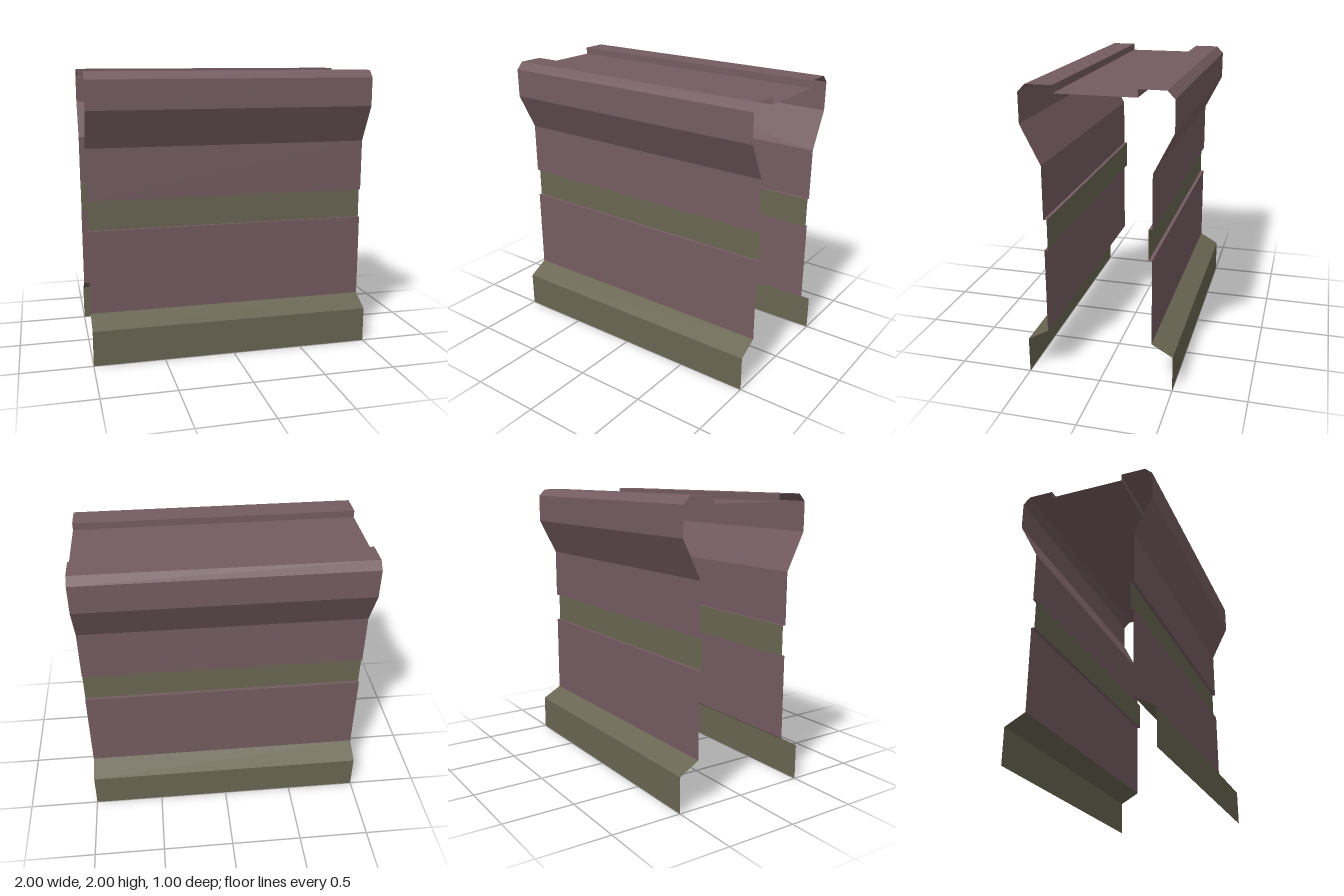
import * as THREE from 'three';

const mauve = new THREE.MeshStandardMaterial({ color: 0x755c61, side: THREE.DoubleSide });
mauve.name = 'mauve panel';
const olive = new THREE.MeshStandardMaterial({ color: 0x6a6653, side: THREE.DoubleSide });
olive.name = 'olive trim';

// Sweeps a [z, y] section along x as a thin folded sheet with crisp folds.
// Points run upward on the front, then towards the back over the top.
function foldedSheet(name, section, material) {
  const positions = [];
  for (let i = 0; i < section.length - 1; i++) {
    const [z0, y0] = section[i];
    const [z1, y1] = section[i + 1];
    positions.push(
      -1, y0, z0, 1, y0, z0, 1, y1, z1,
      -1, y0, z0, 1, y1, z1, -1, y1, z1
    );
  }
  const geometry = new THREE.BufferGeometry();
  geometry.setAttribute('position', new THREE.Float32BufferAttribute(positions, 3));
  geometry.computeVertexNormals();
  const mesh = new THREE.Mesh(geometry, material);
  mesh.name = name;
  return mesh;
}

// Sections of one side wall, from the ground up
const sideParts = [
  ['Skirt', olive, [[0.5, 0], [0.5, 0.25], [0.358, 0.33]]],
  ['LowerPanel', mauve, [[0.358, 0.33], [0.358, 0.92], [0.335, 0.92]]],
  ['RecessedBand', olive, [[0.335, 0.92], [0.335, 1.13]]],
  ['UpperPanel', mauve, [[0.335, 1.13], [0.358, 1.13], [0.358, 1.49]]],
  ['Cornice', mauve, [[0.358, 1.49], [0.49, 1.75], [0.49, 1.95], [0.44, 2]]],
  ['TopRim', mauve, [[0.44, 2], [0.265, 2], [0.265, 1.95]]],
];

export function createModel() {
  const model = new THREE.Group();
  model.name = 'wallSection';

  // Matching front and back walls
  for (const side of ['front', 'back']) {
    const wall = new THREE.Group();
    wall.name = side + 'Wall';
    for (const [part, material, section] of sideParts) {
      const points = side === 'front' ? section : section.map(([z, y]) => [-z, y]).reverse();
      wall.add(foldedSheet(side + part, points, material));
    }
    model.add(wall);
  }

  // Sunken walkway between the rims
  model.add(foldedSheet('topChannel', [[0.265, 1.95], [-0.265, 1.95]], mauve));
  return model;
}
